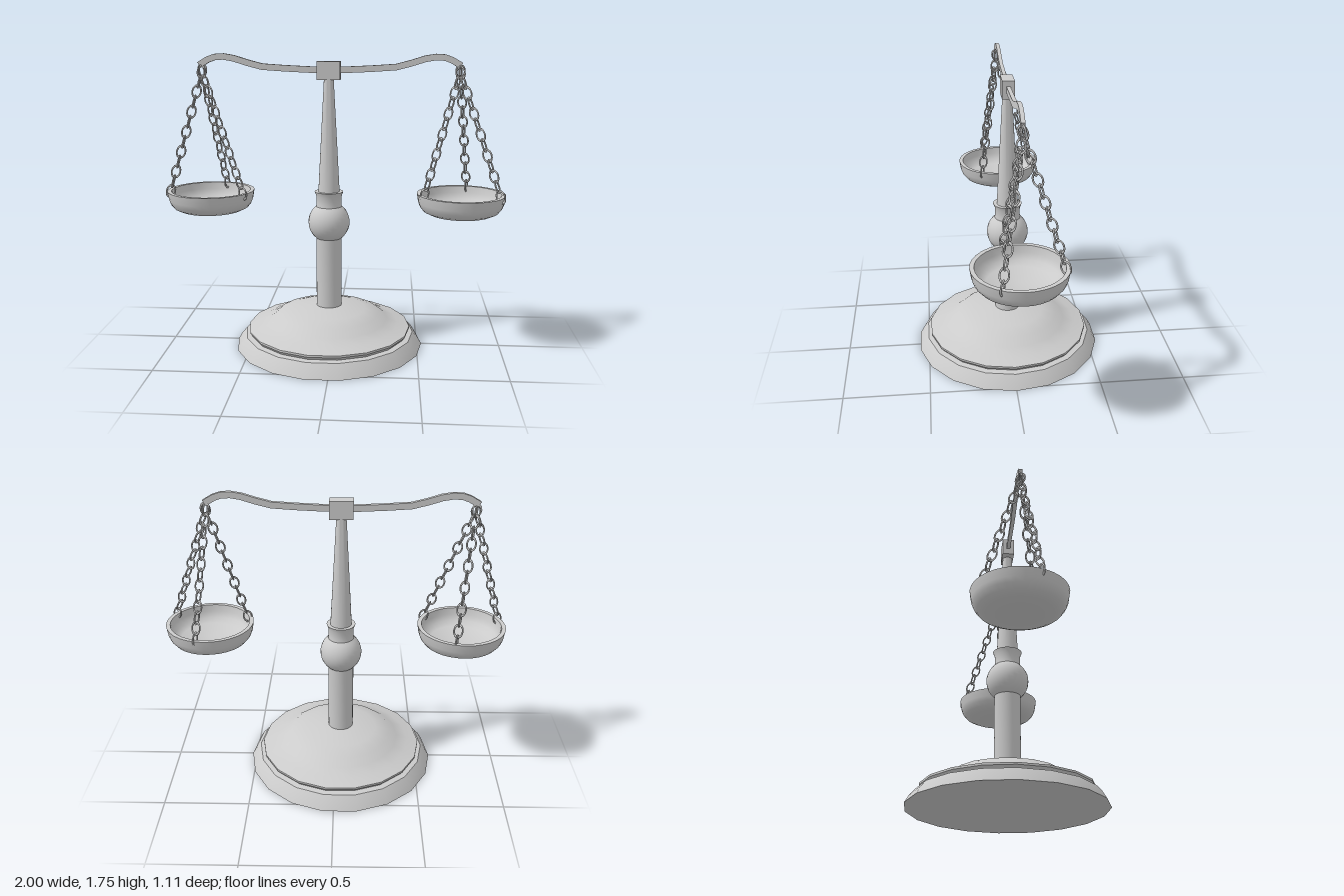
import * as THREE from 'three';
import { toCreasedNormals } from 'three/addons/utils/BufferGeometryUtils.js';

const material = new THREE.MeshStandardMaterial({ color: 0xcccccc });
const AXIS_X = -0.035; // the post stands slightly off centre

function addMesh(parent, name, geometry) {
  const mesh = new THREE.Mesh(geometry, material);
  mesh.name = name;
  parent.add(mesh);
  return mesh;
}

// Turned part, profile given from bottom to top as [radius, y]
function turned(profile, sides) {
  const points = profile.map(([r, y]) => new THREE.Vector2(r, y));
  return toCreasedNormals(new THREE.LatheGeometry(points, sides, Math.PI / 2), 0.6);
}

// Flat bar following a symmetric curve, with its ends cut square
function beamGeometry() {
  const half = [[0, 1.655], [0.1, 1.657], [0.25, 1.664], [0.385, 1.673], [0.47, 1.695],
    [0.55, 1.72], [0.61, 1.73], [0.66, 1.727], [0.7, 1.713], [0.752, 1.682]];
  const path = [...half.slice(1).reverse().map(([x, y]) => [-x, y]), ...half];
  const top = [], bottom = [];
  path.forEach(([x, y], i) => {
    const a = path[Math.max(i - 1, 0)], b = path[Math.min(i + 1, path.length - 1)];
    const n = new THREE.Vector2(a[1] - b[1], b[0] - a[0]).setLength(0.018);
    top.push(new THREE.Vector2(x + n.x, y + n.y));
    bottom.push(new THREE.Vector2(x - n.x, y - n.y));
  });
  const shape = new THREE.Shape([...bottom, ...top.reverse()]);
  const geometry = new THREE.ExtrudeGeometry(shape, { depth: 0.022, bevelEnabled: false });
  geometry.translate(0, 0, -0.011);
  return toCreasedNormals(geometry, 0.6);
}

const linkGeometry = new THREE.TorusGeometry(0.025, 0.005, 6, 14).scale(1, 1.45, 1);

// Straight chain of oval links, each turned a quarter from the last
function chain(from, to, count) {
  const group = new THREE.Group();
  group.name = 'chain';
  const along = to.clone().sub(from).normalize();
  const outward = new THREE.Vector3(to.x - from.x, 0, to.z - from.z);
  outward.addScaledVector(along, -outward.dot(along)).normalize();
  const across = outward.clone().cross(along);
  const basis = new THREE.Matrix4().makeBasis(outward, along, across);
  for (let i = 0; i < count; i++) {
    const link = addMesh(group, 'chainLink', linkGeometry);
    link.quaternion.setFromRotationMatrix(basis);
    if (i % 2) link.rotateY(Math.PI / 2);
    link.position.lerpVectors(from, to, i / (count - 1));
  }
  return group;
}

// Dish with a thick wall, hung on three chains
function hangingPan(name, hookX, x, z, ends) {
  const group = new THREE.Group();
  group.name = name;
  const pan = addMesh(group, 'pan', turned([
    [0, 0.815], [0.14, 0.817], [0.185, 0.826], [0.22, 0.843], [0.24, 0.868], [0.25, 0.895],
    [0.258, 0.945], [0.234, 0.945], [0.228, 0.905], [0.212, 0.87], [0.178, 0.848], [0, 0.845],
  ], 32));
  pan.position.set(x, 0, z);
  const hook = new THREE.Vector3(hookX, 1.645, 0);
  for (const [ex, ez] of ends) group.add(chain(hook, new THREE.Vector3(ex, 0.95, ez), 13));
  return group;
}

export function createModel() {
  const model = new THREE.Group();
  model.name = 'balanceScale';

  const stand = new THREE.Group();
  stand.name = 'stand';
  stand.position.x = AXIS_X;
  model.add(stand);

  // Stepped round foot with a groove
  addMesh(stand, 'base', turned([
    [0, 0], [0.565, 0], [0.542, 0.04], [0.51, 0.077], [0.475, 0.081], [0.49, 0.1], [0.49, 0.112],
    [0.42, 0.132], [0.355, 0.157], [0.308, 0.195], [0.22, 0.22], [0.08, 0.242], [0, 0.242],
  ], 18));

  // Post: shaft, ball, collar and tapering neck
  const ball = [];
  for (let i = 0; i <= 12; i++) {
    const a = -0.9 + (1.8 * i) / 12;
    ball.push([0.123 * Math.cos(a), 0.76 + 0.123 * Math.sin(a)]);
  }
  addMesh(stand, 'post', turned([
    [0.076, 0.235], [0.076, 0.655], ...ball, [0.074, 0.875], [0.075, 0.92],
    [0.085, 0.946], [0.063, 0.946], [0.028, 1.61],
  ], 24));

  // Block that clamps the beam
  addMesh(stand, 'beamBlock', new THREE.BoxGeometry(0.134, 0.105, 0.07)).position.y = 1.653;
  addMesh(stand, 'beam', beamGeometry());

  model.add(hangingPan('leftPan', 0.714, 0.741, 0.011,
    [[0.525, 0.08], [0.79, -0.215], [0.955, 0.12]]));
  model.add(hangingPan('rightPan', -0.773, -0.743, -0.004,
    [[-0.965, 0.08], [-0.69, -0.22], [-0.53, 0.115]]));
  return model;
}
